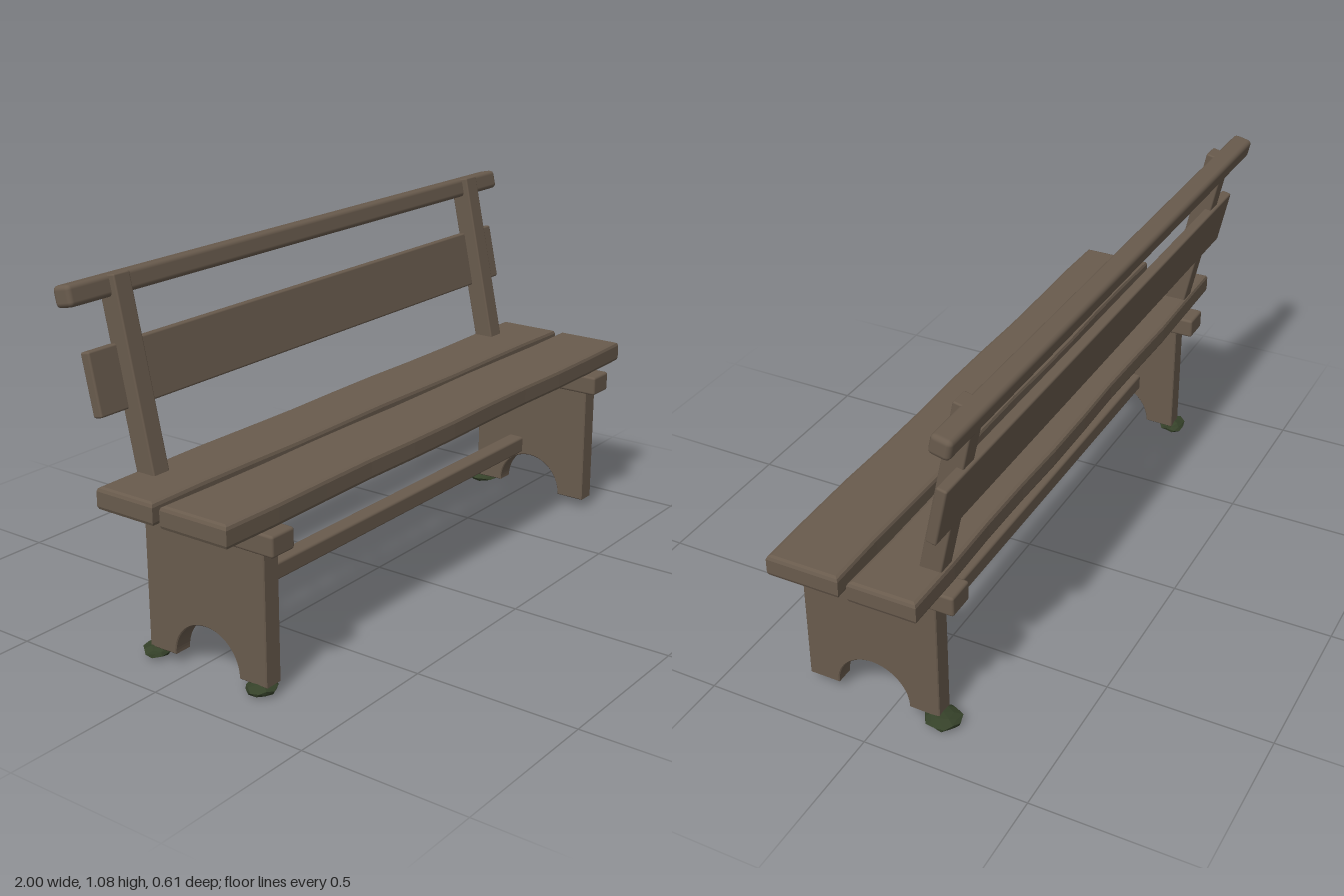
import * as THREE from 'three';
import { RoundedBoxGeometry } from 'three/addons/geometries/RoundedBoxGeometry.js';

const LEAN = -0.21; // backward tilt of the backrest

export function createModel() {
  const bench = new THREE.Group();
  bench.name = 'bench';
  const wood = new THREE.MeshStandardMaterial({ name: 'weathered wood', color: 0x695b4d });
  const moss = new THREE.MeshStandardMaterial({ name: 'dark moss', color: 0x354129, flatShading: true });

  function add(name, geometry, x, y, z, tilt = 0, material = wood) {
    const mesh = new THREE.Mesh(geometry, material);
    mesh.name = name;
    mesh.position.set(x, y, z);
    mesh.rotation.x = tilt;
    bench.add(mesh);
    return mesh;
  }

  // Timber with softly worn edges
  const beam = (w, h, d, r = 0.008) => new RoundedBoxGeometry(w, h, d, 2, r);

  // Seat plank: slightly wavy long edges, bevelled all round, standing on y = 0
  function plank(length, width, height, phase) {
    const n = 10, bevel = 0.012, points = [];
    const wave = (i, k) => 0.003 * Math.sin(i * 1.7 + phase + k) - 0.003;
    for (let i = 0; i <= n; i++) points.push(new THREE.Vector2((i / n - 0.5) * length, -width / 2 - wave(i, 0)));
    for (let i = n; i >= 0; i--) points.push(new THREE.Vector2((i / n - 0.5) * length, width / 2 + wave(i, 2)));
    const g = new THREE.ExtrudeGeometry(new THREE.Shape(points), {
      depth: height - 2 * bevel, bevelThickness: bevel, bevelSize: bevel, bevelOffset: -bevel, bevelSegments: 2,
    });
    return g.rotateX(-Math.PI / 2).translate(0, bevel, 0);
  }
  add('frontSeatPlank', plank(2, 0.23, 0.066, 0), 0, 0.479, 0.16);
  add('rearSeatPlank', plank(2, 0.208, 0.066, 2.5), 0, 0.479, -0.082);

  // Side panel with an arched cutout, drawn along z and extruded across x
  const side = new THREE.Shape();
  side.moveTo(-0.265, 0.033);
  side.lineTo(-0.17, 0.033);
  side.absarc(-0.055, 0.035, 0.115, Math.PI, 0, true);
  side.lineTo(0.155, 0.033);
  side.lineTo(0.155, 0.43);
  side.lineTo(-0.265, 0.43);
  const bevel = 0.003;
  const legGeometry = new THREE.ExtrudeGeometry(side, {
    depth: 0.06 - 2 * bevel, bevelThickness: bevel, bevelSize: bevel, bevelOffset: -bevel,
    bevelSegments: 1, curveSegments: 20,
  }).translate(0, 0, -0.03 + bevel).rotateY(Math.PI / 2);

  // Supports on each side
  for (const [s, label] of [[1, 'left'], [-1, 'right']]) {
    add(label + 'Leg', legGeometry, s * 0.825, 0, 0);
    add(label + 'CrossBeam', beam(0.09, 0.062, 0.522), s * 0.822, 0.449, 0.045);
    add(label + 'BackPost', beam(0.06, 0.59, 0.065, 0.005), s * 0.825, 0.785, -0.195, LEAN);
  }

  // Horizontal members
  add('stretcher', beam(1.62, 0.055, 0.055), 0, 0.182, -0.002);
  add('backBoard', beam(1.91, 0.178, 0.032, 0.006), 0, 0.802, -0.226, LEAN);
  add('topRail', beam(2, 0.06, 0.062, 0.014), 0, 1.042, -0.268, LEAN);

  // Flattened, lumpy moss pads under three of the feet
  function mossPad(name, x, z, rx, rz, seed) {
    const g = new THREE.IcosahedronGeometry(1, 1);
    const p = g.attributes.position;
    for (let i = 0; i < p.count; i++) {
      const a = p.getX(i), b = p.getY(i), c = p.getZ(i);
      const k = 0.92 + 0.13 * Math.sin(a * 5 + seed) * Math.cos(c * 6 + b * 4 + seed);
      p.setXYZ(i, a * k * rx, b * k * 0.021, c * k * rz);
    }
    g.computeVertexNormals();
    add(name, g, x, 0.021, z, 0, moss);
  }
  mossPad('leftRearMoss', 0.835, -0.155, 0.055, 0.058, 1);
  mossPad('rightRearMoss', -0.835, -0.145, 0.05, 0.045, 3);
  mossPad('rightFrontMoss', -0.835, 0.232, 0.052, 0.047, 5);

  return bench;
}
